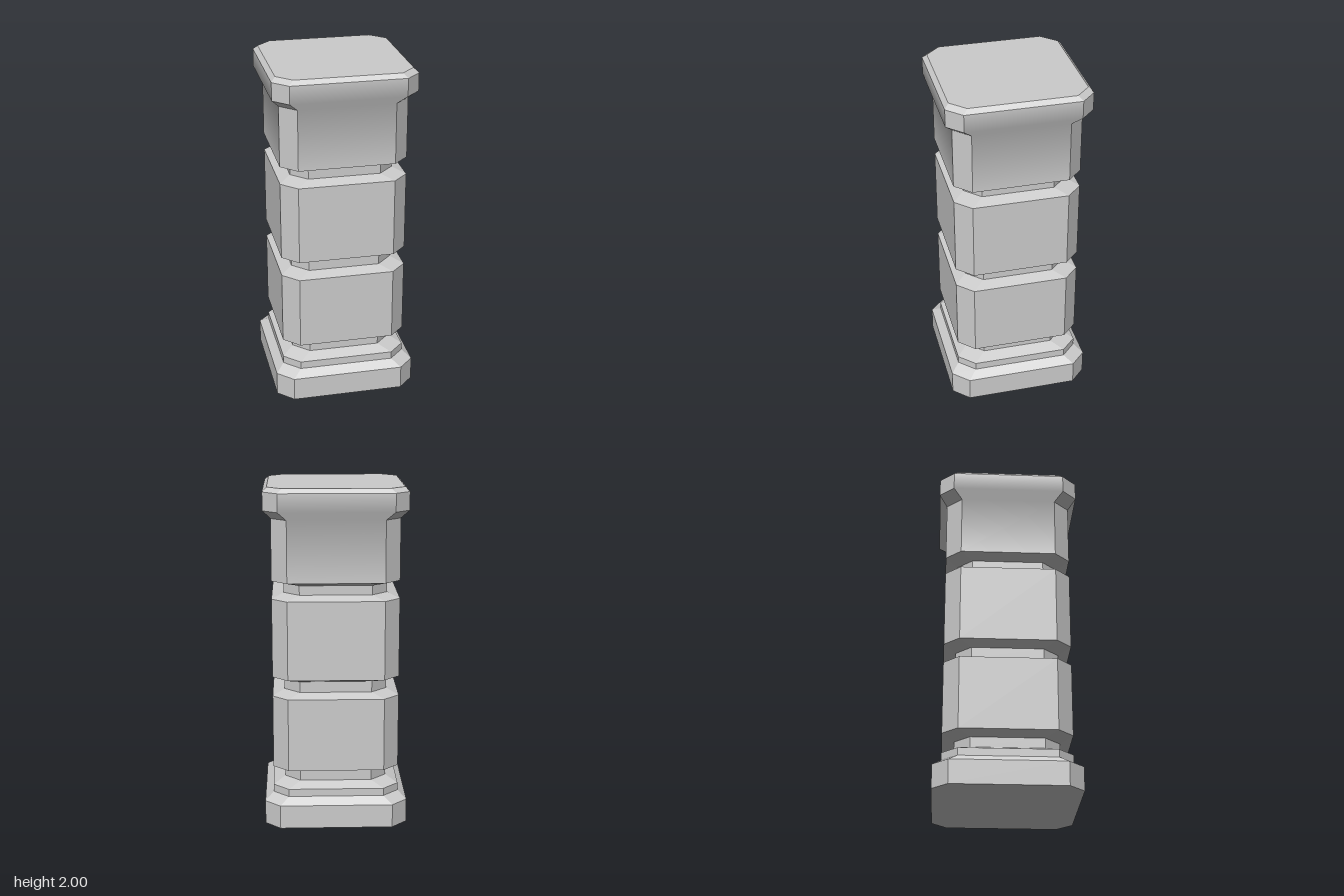
import * as THREE from 'three';

const material = new THREE.MeshStandardMaterial({ color: 0xcccccc });

// Square ring with chamfered corners: h = half width, f = half length of the flat side
function ring([y, h, f]) {
  return [[h, f], [f, h], [-f, h], [-h, f], [-h, -f], [-f, -h], [f, -h], [h, -f]]
    .map(([x, z]) => new THREE.Vector3(x, y, z));
}

// Stacks rings [y, h, f] from bottom to top. Hard edges everywhere, except that
// softSides blends the normals up the four flat sides over those row indices.
function stack(name, rows, { softSides = [], bottom = false, top = false } = {}) {
  const rings = rows.map(ring);
  const pos = [], nor = [];
  const faceNormal = (i, r) => {
    const j = (i + 1) % 8;
    const up = rings[r + 1][i].clone().add(rings[r + 1][j]).sub(rings[r][i]).sub(rings[r][j]);
    return up.cross(rings[r][j].clone().sub(rings[r][i])).normalize();
  };
  const put = (p, n) => { pos.push(p.x, p.y, p.z); nor.push(n.x, n.y, n.z); };

  for (let i = 0; i < 8; i++) {
    const j = (i + 1) % 8;
    for (let r = 0; r < rows.length - 1; r++) {
      const flat = faceNormal(i, r);
      const at = (k) => {
        if (i % 2 === 0 || !softSides.includes(k)) return flat;
        return faceNormal(i, k - 1).add(faceNormal(i, k)).normalize();
      };
      const n0 = at(r), n1 = at(r + 1);
      const a0 = rings[r][i], b0 = rings[r][j], a1 = rings[r + 1][i], b1 = rings[r + 1][j];
      put(a0, n0); put(a1, n1); put(b0, n0);
      put(b0, n0); put(a1, n1); put(b1, n1);
    }
  }
  // End faces
  const down = new THREE.Vector3(0, -1, 0), upward = new THREE.Vector3(0, 1, 0);
  const last = rings[rings.length - 1];
  for (let i = 1; i < 7; i++) {
    if (bottom) [rings[0][0], rings[0][i], rings[0][i + 1]].forEach((p) => put(p, down));
    if (top) [last[0], last[i + 1], last[i]].forEach((p) => put(p, upward));
  }

  const geometry = new THREE.BufferGeometry();
  geometry.setAttribute('position', new THREE.Float32BufferAttribute(pos, 3));
  geometry.setAttribute('normal', new THREE.Float32BufferAttribute(nor, 3));
  const mesh = new THREE.Mesh(geometry, material);
  mesh.name = name;
  return mesh;
}

export function createModel() {
  const group = new THREE.Group();
  group.name = 'pillar';

  const plinth = (y) => [y, 0.42, 0.33];
  const body = (y) => [y, 0.37, 0.28];
  const neck = (y) => [y, 0.3, 0.21];

  // Stepped base
  group.add(stack('base',
    [plinth(0), plinth(0.14), body(0.18), body(0.225), neck(0.255)], { bottom: true }));

  // Two shaft blocks with bevelled ends
  [[0.315, 0.8], [0.865, 1.38]].forEach(([y0, y1], i) => {
    group.add(stack(`shaftBlock${i + 1}`,
      [neck(y0), body(y0 + 0.025), body(y1 - 0.025), neck(y1)]));
  });

  // Recessed necks between the blocks
  [[0.255, 0.315], [0.8, 0.865], [1.38, 1.435]].forEach(([y0, y1], i) => {
    group.add(stack(`neck${i + 1}`, [neck(y0), neck(y1)]));
  });

  // Upper block flaring out into the capital
  group.add(stack('capital',
    [neck(1.435), body(1.46), body(1.82), [1.87, 0.415, 0.33], [1.975, 0.415, 0.33], [2, 0.39, 0.305]],
    { softSides: [2, 3], top: true }));

  return group;
}
